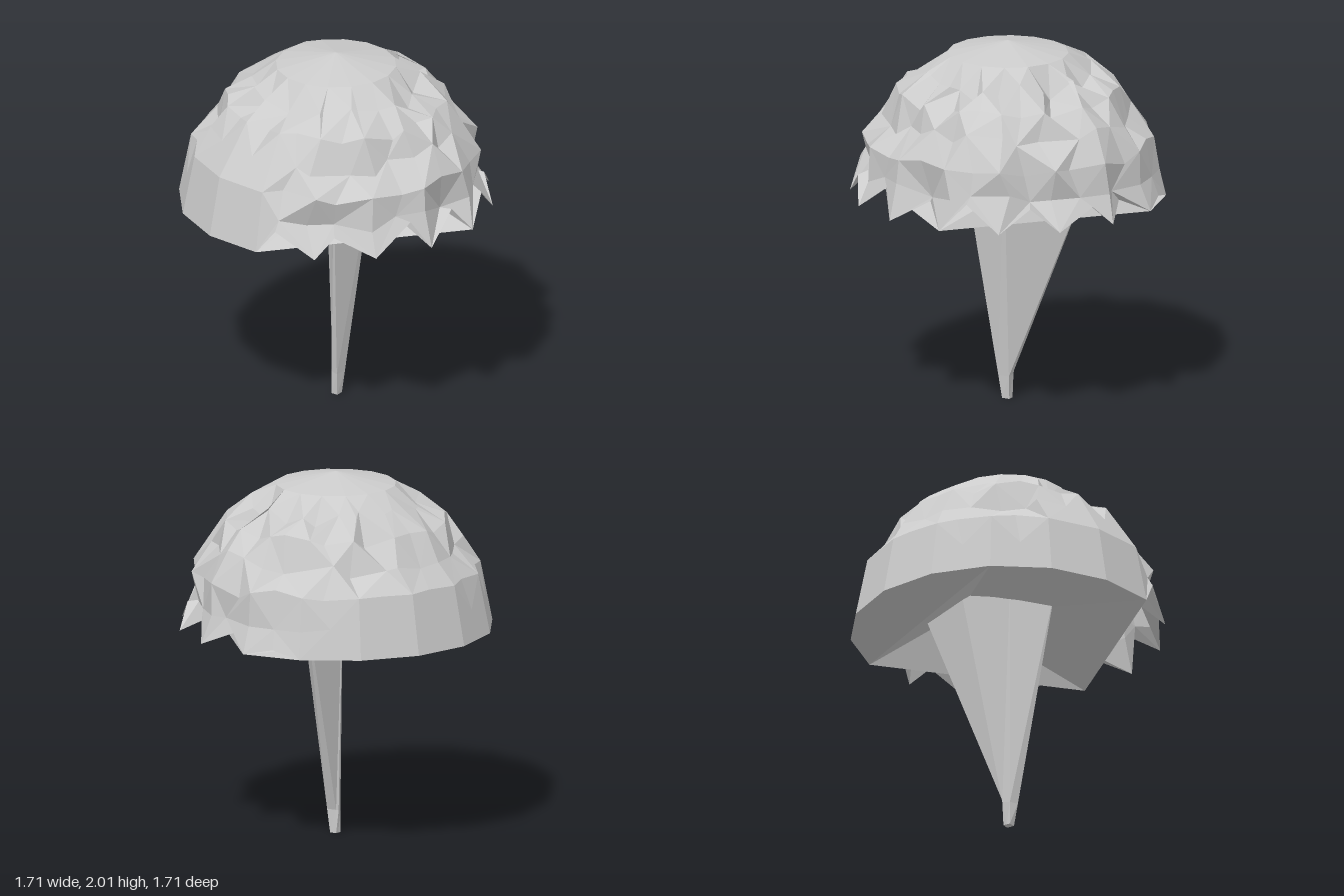
import * as THREE from 'three';

const R = 0.855, BASE = 1.15, COLS = 32, ROWS = 8;

// repeatable noise in 0..1 for a grid point
function noise(i, j, k) {
  const s = Math.sin(i * 127.1 + j * 311.7 + k * 74.7) * 43758.5453;
  return s - Math.floor(s);
}

function spherePoint(i, j) {
  const a = (i / COLS) * Math.PI * 2, t = (j / ROWS) * Math.PI / 2;
  return new THREE.Vector3(
    R * Math.sin(t) * Math.cos(a), BASE + R * Math.cos(t), R * Math.sin(t) * Math.sin(a));
}

// how crumpled the foliage is at a grid point: smooth crown and smooth patches
function roughness(i, j) {
  const a = (i / COLS) * Math.PI * 2, x = Math.cos(a), z = Math.sin(a);
  if (j <= 2) return 0;
  if (j >= 7) return x > 0.1 ? 1 : (z < -0.3 && x > -0.5 ? 0.35 : 0);
  if (j >= 5 && z > 0.75 && x < 0.1) return 0;
  return x > 0 ? 0.9 : 0.7;
}

// even grid points are peaks on the sphere, some of the others fold sharply inward
function canopyPoint(col, j) {
  const i = (col + COLS) % COLS;
  const oddI = i % 2, oddJ = j % 2;
  if (!oddI && !oddJ) return spherePoint(i, j);
  const p = new THREE.Vector3();
  for (const di of oddI ? [-1, 1] : [0])
    for (const dj of oddJ ? [-1, 1] : [0]) p.add(spherePoint(i + di, j + dj));
  p.multiplyScalar(1 / ((oddI + 1) * (oddJ + 1)));
  const rough = roughness(i, j);
  if (!rough) return p;
  const inward = new THREE.Vector3(0, BASE, 0).sub(p).normalize();
  p.addScaledVector(inward, rough * 0.11 * noise(i, j, 1) ** 2);
  const along = new THREE.Vector3(-p.z, 0, p.x).normalize();
  p.addScaledVector(along, rough * 0.13 * (noise(i, j, 2) - 0.5));
  p.y += rough * 0.1 * (noise(i, j, 3) - 0.5);
  // notches between the hanging tips of the rim
  if (j === ROWS) p.y = BASE + rough * (0.03 + 0.15 * noise(i, j, 4));
  p.y = Math.max(p.y, BASE);
  return p;
}

function geometryFrom(triangles) {
  const g = new THREE.BufferGeometry().setFromPoints(triangles);
  g.computeVertexNormals();
  return g;
}

function canopyGeometry() {
  const tris = [];
  for (let i = 0; i < COLS; i++) {
    for (let j = 0; j < ROWS; j++) {
      const a = canopyPoint(i, j), b = canopyPoint(i + 1, j);
      const c = canopyPoint(i + 1, j + 1), d = canopyPoint(i, j + 1);
      // the diagonal always starts at a peak, giving star-shaped folds
      if ((i + j) % 2 === 0) tris.push(a, b, c, a, c, d);
      else tris.push(a, b, d, b, c, d);
    }
  }
  return geometryFrom(tris);
}

// underside: flat at the back left, the rest folded up toward a point at the back right
function undersideGeometry() {
  const apex = new THREE.Vector3(0.25, 1.46, -0.45);
  const tris = [];
  const fan = (tip, columns) => {
    const edge = columns.map((i) => spherePoint(i, ROWS));
    for (let k = 0; k < edge.length - 1; k++) tris.push(tip, edge[k], edge[k + 1]);
  };
  fan(apex, [24, 0, 8, 10, 12, 14, 24]);
  fan(spherePoint(24, ROWS), [14, 16, 18, 20, 22]);
  return geometryFrom(tris);
}

// lopsided trunk, a thin diagonal blade that tapers to a small square foot
function trunkGeometry() {
  const foot = [[0.022, 0.025], [0.025, -0.02], [-0.015, -0.02], [-0.015, 0], [-0.015, 0.02]];
  const head = [[0.1, 0.19], [0.17, -0.065], [-0.12, -0.39], [-0.155, -0.16], [-0.015, 0.02]];
  const ring = (y) => foot.map(([x, z], k) => {
    const start = k === 2 ? 0.13 : 0;
    const t = Math.max(0, (y - start) / (BASE - start));
    return new THREE.Vector3(x + (head[k][0] - x) * t, y, z + (head[k][1] - z) * t);
  });
  const rings = [0, 0.13, 1.42].map(ring), tris = [], n = foot.length;
  for (let r = 0; r < rings.length - 1; r++) {
    for (let k = 0; k < n; k++) {
      const m = (k + 1) % n, lo = rings[r], hi = rings[r + 1];
      tris.push(lo[k], lo[m], hi[m], lo[k], hi[m], hi[k]);
    }
  }
  // foot
  for (let k = 1; k < n - 1; k++) tris.push(rings[0][0], rings[0][k + 1], rings[0][k]);
  return geometryFrom(tris);
}

export function createModel() {
  const tree = new THREE.Group();
  tree.name = 'tree';
  const material = new THREE.MeshStandardMaterial({
    color: 0xcccccc, flatShading: true, side: THREE.DoubleSide });
  const parts = {
    canopy: canopyGeometry(), canopyUnderside: undersideGeometry(), trunk: trunkGeometry() };
  for (const [name, geometry] of Object.entries(parts)) {
    const mesh = new THREE.Mesh(geometry, material);
    mesh.name = name;
    tree.add(mesh);
  }
  return tree;
}
